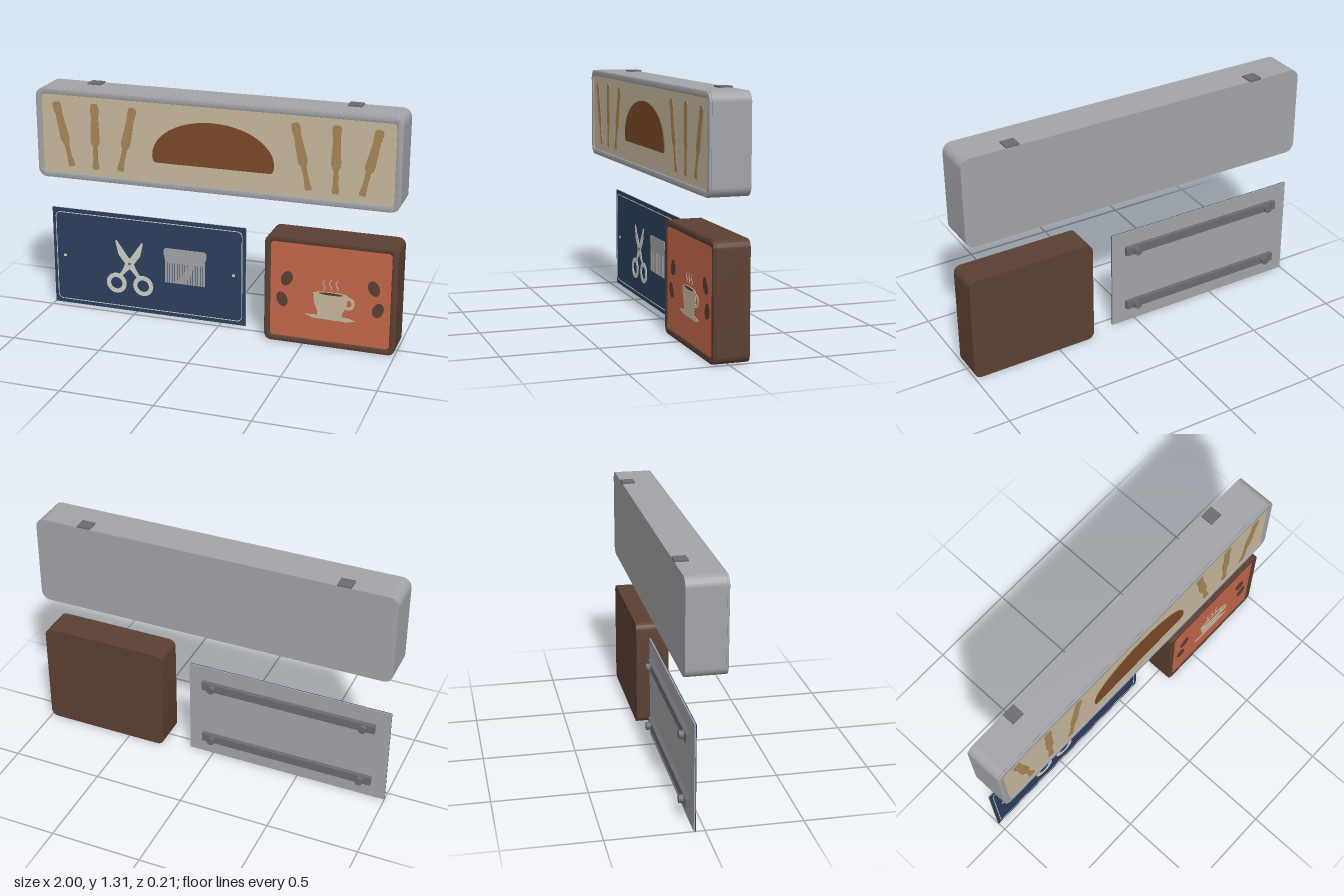
import * as THREE from 'three';
import { toCreasedNormals } from 'three/addons/utils/BufferGeometryUtils.js';

const material = (name, color) => {
  const m = new THREE.MeshStandardMaterial({ color });
  m.name = name;
  return m;
};

// Rounded rectangle outline, usable as shape or hole
function roundRect(x0, y0, x1, y1, r) {
  const s = new THREE.Shape();
  s.moveTo(x0 + r, y0).lineTo(x1 - r, y0);
  s.absarc(x1 - r, y0 + r, r, -Math.PI / 2, 0);
  s.absarc(x1 - r, y1 - r, r, 0, Math.PI / 2);
  s.absarc(x0 + r, y1 - r, r, Math.PI / 2, Math.PI);
  s.absarc(x0 + r, y0 + r, r, Math.PI, Math.PI * 1.5);
  return s;
}
const polygon = (pts) => new THREE.Shape(pts.map(([x, y]) => new THREE.Vector2(x, y)));
const ellipse = (x, y, rx, ry, turn = 0) =>
  new THREE.Shape().absellipse(x, y, rx, ry, 0, Math.PI * 2, false, turn);
const ring = (x, y, rOut, rIn) => {
  const s = ellipse(x, y, rOut, rOut);
  s.holes.push(ellipse(x, y, rIn, rIn));
  return s;
};

export function createModel() {
  const model = new THREE.Group();
  model.name = 'shopSigns';
  const silver = material('silver', 0xa3a4a8);
  const darkMetal = material('darkMetal', 0x6b6c6f);
  const cream = material('cream', 0xc8b99f);
  const wood = material('wood', 0xa88657);
  const crust = material('crust', 0x7a4b28);
  const navy = material('navy', 0x2c3f5e);
  const white = material('offWhite', 0xcfcfc8);
  const coral = material('coral', 0xc4674c);
  const brown = material('brown', 0x5c4033);

  const group = (name) => {
    const g = new THREE.Group();
    g.name = name;
    model.add(g);
    return g;
  };
  const add = (parent, name, geometry, mat, x = 0, y = 0, z = 0) => {
    const mesh = new THREE.Mesh(geometry, mat);
    mesh.name = name;
    mesh.position.set(x, y, z);
    parent.add(mesh);
    return mesh;
  };
  // Extrude a shape from z0 to z1, with an optional bevel kept inside the outline
  const slab = (parent, name, shape, mat, z0, z1, bevel = 0) => {
    const geo = new THREE.ExtrudeGeometry(shape, {
      depth: z1 - z0 - 2 * bevel, curveSegments: 12, bevelEnabled: bevel > 0,
      bevelSize: bevel, bevelThickness: bevel, bevelOffset: -bevel, bevelSegments: 2,
    });
    return add(parent, name, toCreasedNormals(geo, 0.6), mat, 0, 0, z0 + bevel);
  };
  // Box with a raised front rim and a coloured face panel
  const signBox = (name, x0, y0, x1, y1, r, z1, bodyMat, faceMat) => {
    const g = group(name);
    const rim = 0.032;
    slab(g, 'caseBody', roundRect(x0, y0, x1, y1, r), bodyMat, -0.105, z1 - 0.012);
    const frame = roundRect(x0, y0, x1, y1, r);
    frame.holes.push(roundRect(x0 + rim, y0 + rim, x1 - rim, y1 - rim, 0.02));
    slab(g, 'frontRim', frame, bodyMat, z1 - 0.012, z1, 0.004);
    slab(g, 'facePanel', roundRect(x0 + 0.025, y0 + 0.025, x1 - 0.025, y1 - 0.025, 0.02),
      faceMat, z1 - 0.012, z1 - 0.006);
    return g;
  };

  // Bakery sign
  const bakery = signBox('bakerySign', -1, 0.802, 1, 1.3, 0.05, 0.105, silver, cream);
  const zb = 0.099;
  const loaf = new THREE.Shape();
  loaf.moveTo(-0.315, 0.943).lineTo(0.315, 0.943).quadraticCurveTo(0.335, 0.945, 0.335, 0.985);
  loaf.absellipse(0, 0.985, 0.335, 0.2, 0, Math.PI, false, 0);
  loaf.quadraticCurveTo(-0.335, 0.945, -0.315, 0.943);
  slab(bakery, 'breadLoaf', loaf, crust, zb, zb + 0.004);

  // Rolling pins: half profile mirrored about the length axis
  const half = [[0.014, 0.183], [0.023, 0.17], [0.023, 0.13], [0.019, 0.12], [0.026, -0.015],
    [0.024, -0.035], [0.013, -0.055], [0.013, -0.125], [0.019, -0.165], [0.015, -0.18]];
  const pinShape = polygon([...half.map(([x, y]) => [-x, y]), ...half.slice().reverse()]);
  for (const side of [-1, 1]) {
    for (const [x, turn] of [[0.842, -0.23], [0.662, 0], [0.482, 0.22]]) {
      const pin = slab(bakery, 'rollingPin', pinShape, wood, zb, zb + 0.004);
      pin.position.set(side * x, 1.05, zb);
      pin.rotation.z = side * turn;
    }
    add(bakery, 'topBracket', new THREE.BoxGeometry(0.074, 0.012, 0.07), darkMetal,
      side * 0.718, 1.302, -0.07);
  }

  // Barber plate
  const barber = group('barberSign');
  const cx = -0.43;
  const cy = 0.286;
  add(barber, 'backPlate', new THREE.BoxGeometry(1.14, 0.572, 0.007), silver, cx, cy, -0.0535);
  add(barber, 'frontSheet', new THREE.BoxGeometry(1.14, 0.572, 0.004), navy, cx, cy, -0.048);
  const zp = -0.046;
  const line = roundRect(-0.982, 0.022, 0.122, 0.55, 0.03);
  line.holes.push(roundRect(-0.978, 0.026, 0.118, 0.546, 0.026));
  slab(barber, 'borderLine', line, white, zp, zp + 0.002);
  for (const side of [-1, 1]) {
    add(barber, 'screwMark', new THREE.BoxGeometry(0.018, 0.014, 0.002), white,
      cx + side * 0.502, 0.29, zp + 0.001);
  }

  // Scissors: one half mirrored about the pivot line
  const sx = -0.54;
  for (const s of [-1, 1]) {
    const flip = (pts) => polygon(pts.map(([x, y]) => [sx + s * x, y]));
    slab(barber, 'scissorBlade', flip([[0.075, 0.418], [0.083, 0.412], [0.065, 0.335],
      [0.02, 0.275], [-0.045, 0.205], [-0.07, 0.2], [-0.04, 0.25], [-0.02, 0.295], [0.01, 0.325]]),
    white, zp, zp + 0.003);
    slab(barber, 'scissorRing', ring(sx + s * 0.08, 0.16, 0.06, 0.035), white, zp, zp + 0.0035);
  }
  add(barber, 'scissorPivot', new THREE.BoxGeometry(0.012, 0.012, 0.002), navy, sx, 0.285, zp + 0.003);

  // Comb: back and teeth
  slab(barber, 'combBack', polygon([[-0.325, 0.405], [-0.335, 0.395], [-0.335, 0.365],
    [-0.328, 0.35], [-0.328, 0.32], [-0.092, 0.32], [-0.092, 0.35], [-0.085, 0.365],
    [-0.085, 0.395], [-0.095, 0.405]]), silver, zp, zp + 0.003);
  for (let i = 0; i < 16; i++) {
    add(barber, 'combTooth', new THREE.BoxGeometry(0.0115, 0.125, 0.003), silver,
      -0.322 + i * 0.0149, 0.264, zp + 0.0015);
  }

  // Rear mounting rails with bolts
  for (const y of [0.46, 0.112]) {
    add(barber, 'mountingRail', new THREE.BoxGeometry(0.98, 0.048, 0.024), darkMetal, cx, y, -0.069);
    for (const side of [-1, 1]) {
      const bolt = add(barber, 'railBolt', new THREE.CylinderGeometry(0.023, 0.023, 0.026, 8),
        darkMetal, cx + side * 0.43, y, -0.092);
      bolt.rotation.x = Math.PI / 2;
    }
  }

  // Coffee sign
  const coffee = signBox('coffeeSign', 0.285, 0, 1, 0.6, 0.04, 0.08, brown, coral);
  const zc = 0.074;
  const mid = 0.642;
  for (const s of [-1, 1]) {
    slab(coffee, 'coffeeBean', ellipse(mid + s * 0.235, 0.365, 0.03, 0.043, s * 0.4), brown, zc, zc + 0.004);
    slab(coffee, 'coffeeBean', ellipse(mid + s * 0.26, 0.245, 0.029, 0.042, -s * 0.35), brown, zc, zc + 0.004);
  }
  slab(coffee, 'saucer', polygon([[0.51, 0.176], [0.55, 0.16], [0.74, 0.156], [0.78, 0.168],
    [0.75, 0.178], [0.65, 0.184]]), cream, zc, zc + 0.003);
  slab(coffee, 'cupBody', polygon([[0.553, 0.305], [0.558, 0.25], [0.578, 0.2], [0.575, 0.17],
    [0.705, 0.17], [0.712, 0.2], [0.735, 0.25], [0.742, 0.305], [0.7, 0.315], [0.6, 0.315]]),
  cream, zc, zc + 0.004);
  slab(coffee, 'cupHandle', ring(0.742, 0.262, 0.036, 0.02), cream, zc, zc + 0.003);
  slab(coffee, 'coffeeSurface', ellipse(0.648, 0.306, 0.065, 0.007), brown, zc + 0.003, zc + 0.005);

  // Steam wisps
  for (const x of [0.61, 0.645, 0.68]) {
    const left = [];
    const right = [];
    for (let i = 0; i <= 8; i++) {
      const y = 0.325 + i * 0.0075;
      const wave = x + 0.007 * Math.sin(i * 0.9);
      left.push([wave - 0.0025, y]);
      right.unshift([wave + 0.0025, y]);
    }
    slab(coffee, 'steamWisp', polygon([...left, ...right]), cream, zc, zc + 0.002);
  }
  return model;
}
